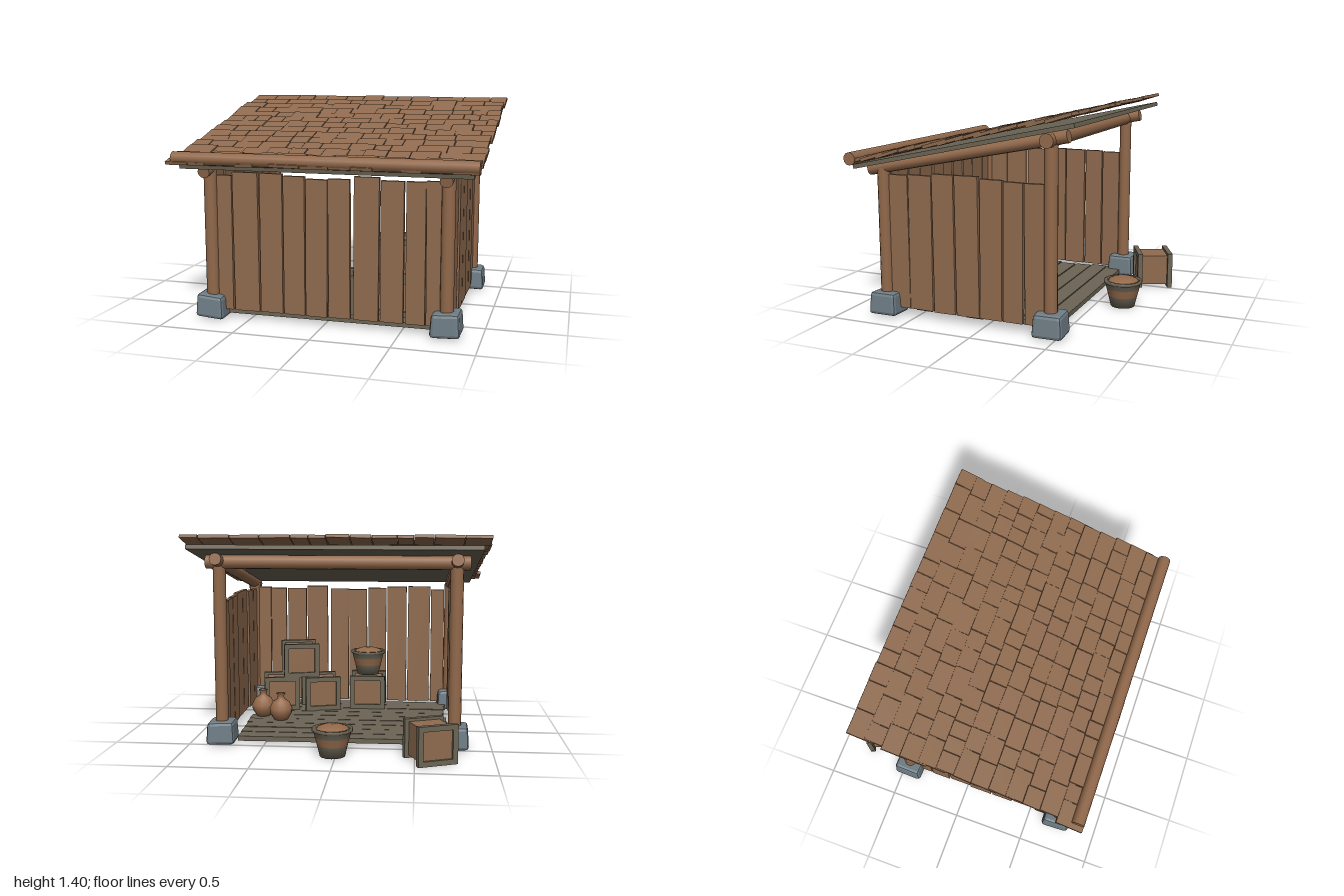
import * as THREE from 'three';
import { RoundedBoxGeometry } from 'three/addons/geometries/RoundedBoxGeometry.js';

const paint = (name, color) => Object.assign(new THREE.MeshStandardMaterial({ color }), { name });

export function createModel() {
  const root = new THREE.Group();
  root.name = 'woodenShelter';
  const plankWood = paint('plankWood', 0x8f6b4f);
  const logWood = paint('logWood', 0x92694b);
  const greyWood = paint('greyWood', 0x6c6555);
  const stone = paint('stone', 0x6f7d85);
  const clay = paint('clay', 0x95694a);

  let seed = 7;
  const rand = () => (seed = (seed * 16807) % 2147483647) / 2147483647;
  const jitter = (a) => (rand() * 2 - 1) * a;

  const add = (parent, name, geo, mat, x = 0, y = 0, z = 0) => {
    const mesh = new THREE.Mesh(geo, mat);
    mesh.name = name;
    mesh.position.set(x, y, z);
    parent.add(mesh);
    return mesh;
  };
  const box = (parent, name, mat, w, h, d, x, y, z) =>
    add(parent, name, new THREE.BoxGeometry(w, h, d), mat, x, y, z);
  const group = (name, x = 0, y = 0, z = 0, ry = 0) => {
    const g = new THREE.Group();
    g.name = name;
    g.position.set(x, y, z);
    g.rotation.y = ry;
    root.add(g);
    return g;
  };
  // Round log between two points
  const log = (name, a, b, r) => {
    const from = new THREE.Vector3(...a), to = new THREE.Vector3(...b);
    const dir = to.clone().sub(from);
    const mesh = add(root, name, new THREE.CylinderGeometry(r, r, dir.length(), 12), logWood);
    mesh.position.copy(from).add(to).multiplyScalar(0.5);
    mesh.quaternion.setFromUnitVectors(new THREE.Vector3(0, 1, 0), dir.normalize());
  };

  // Posts, footing stones and rafters
  const postX = [-0.755, 0.785];
  for (const x of postX) {
    log('frontPost', [x, 0.06, 0.71], [x, 0.99, 0.71], 0.043);
    log('backPost', [x, 0.06, -0.45], [x, 1.23, -0.45], 0.043);
    log('rafter', [x, 0.975, 0.81], [x, 1.245, -0.56], 0.04);
    for (const z of [0.705, -0.45]) {
      const geo = new RoundedBoxGeometry(0.18, 0.15, 0.19, 1, 0.022);
      const p = geo.attributes.position;
      const lean = jitter(0.1);
      for (let i = 0; i < p.count; i++) {
        const k = 1 - p.getY(i) * 0.7;
        p.setXYZ(i, p.getX(i) * k, p.getY(i) + p.getX(i) * lean, p.getZ(i) * k);
      }
      geo.computeVertexNormals();
      add(root, 'footingStone', geo, stone, x, 0.092, z).rotation.y = jitter(0.05);
    }
  }
  log('backCrossBeam', [-0.84, 1.22, -0.45], [0.87, 1.22, -0.45], 0.045);
  log('eaveLog', [-0.95, 1.063, 0.835], [0.985, 1.063, 0.835], 0.042);

  // Floor boards running across
  const floor = group('floor');
  for (let i = 0; i < 9; i++) {
    box(floor, 'floorBoard', greyWood, 1.4 + jitter(0.03), 0.032, 0.117,
      -0.02 + jitter(0.02), 0.042, 0.61 - i * 0.125).rotation.z = jitter(0.004);
  }

  // Upright wall planks: [start, end] along the wall
  const frontPlanks = [[-0.71, -0.61], [-0.6, -0.43], [-0.42, -0.27], [-0.26, -0.12], [-0.11, 0.03],
    [0.035, 0.175], [0.2, 0.36], [0.37, 0.515], [0.53, 0.65], [0.655, 0.75]];
  const sidePlanks = [[-0.41, -0.28], [-0.27, -0.14], [-0.13, 0.02], [0.03, 0.19],
    [0.2, 0.35], [0.365, 0.53], [0.535, 0.67]];
  const frontWall = group('frontWall');
  for (const [a, b] of frontPlanks) {
    const top = 0.955 + jitter(0.018);
    box(frontWall, 'wallPlank', plankWood, b - a, top - 0.065, 0.03,
      (a + b) / 2, (top + 0.065) / 2, 0.705 + jitter(0.006)).rotation.z = jitter(0.009);
  }
  for (const x of postX) {
    const wall = group('sideWall');
    for (const [a, b] of sidePlanks) {
      const top = 0.96 + jitter(0.014);
      box(wall, 'wallPlank', plankWood, 0.03, top - 0.065, b - a,
        x + jitter(0.006), (top + 0.065) / 2, (a + b) / 2).rotation.x = jitter(0.008);
    }
  }

  // Roof deck
  box(root, 'roofDeck', greyWood, 1.86, 0.028, 1.515, 0.02, 1.167, 0.09).rotation.x = Math.atan2(0.315, 1.48);

  // Thirteen rows of tilted shingles
  const roof = group('shingles');
  const tilt = 0.29;
  for (let row = 0; row < 13; row++) {
    const backZ = 0.7 - row * 0.1125;
    const backY = 1.086 + row * 0.0255;
    const end = 0.985 + jitter(0.008);
    let x = (row === 0 ? -0.995 : -0.965) + jitter(0.015);
    while (x < end - 0.02) {
      let w = 0.1 + rand() * 0.11;
      if (end - x - w < 0.07) w = end - x;
      const len = 0.175 + jitter(0.008);
      const s = box(roof, 'shingle', plankWood, w - 0.004, 0.021, len, x + w / 2,
        backY - Math.sin(tilt) * len / 2 + jitter(0.004), backZ + Math.cos(tilt) * len / 2 + jitter(0.003));
      s.rotation.set(tilt + jitter(0.015), jitter(0.015), jitter(0.02));
      x += w;
    }
  }

  // Crates with a raised frame at both ends
  const crate = (x, y, z, ry) => {
    const g = group('crate', x, y + 0.125, z, ry);
    box(g, 'crateBody', plankWood, 0.21, 0.215, 0.22, 0, 0, 0);
    for (const s of [-1, 1]) {
      for (const t of [-1, 1]) {
        box(g, 'crateRail', greyWood, 0.265, 0.034, 0.034, 0, t * 0.109, s * 0.109);
        box(g, 'crateStile', greyWood, 0.034, 0.184, 0.034, t * 0.115, 0, s * 0.109);
      }
    }
  };
  crate(-0.595, 0.008, -0.725, 0.41);
  crate(0.23, 0.058, 0.45, 0.28);
  crate(0.53, 0.058, 0.43, 0.2);
  crate(0.39, 0.308, 0.46, 0.25);
  crate(-0.13, 0.058, 0.53, 0);

  // Tubs: tapered staves, a hoop and heaped contents
  const tub = (x, y, z) => {
    const g = group('tub', x, y, z);
    const lathe = (name, mat, pts) =>
      add(g, name, new THREE.LatheGeometry(pts.map((p) => new THREE.Vector2(...p)), 14), mat);
    lathe('tubBase', greyWood, [[0, 0], [0.082, 0], [0.1, 0.075]]);
    lathe('tubHoop', clay, [[0.1, 0.075], [0.113, 0.125]]);
    lathe('tubRim', greyWood, [[0.113, 0.125], [0.122, 0.16], [0.132, 0.165], [0.132, 0.182], [0.11, 0.182], [0.108, 0.165]]);
    lathe('tubContents', clay, [[0.11, 0.168], [0.095, 0.188], [0.06, 0.2], [0, 0.204]]);
  };
  tub(0.02, 0.008, -0.68);
  tub(-0.13, 0.31, 0.53);

  // Round clay jugs
  const jugProfile = [[0, 0], [0.05, 0], [0.078, 0.045], [0.082, 0.085], [0.06, 0.13], [0.026, 0.152],
    [0.022, 0.175], [0.034, 0.192], [0.022, 0.192], [0, 0.175]].map((p) => new THREE.Vector2(...p));
  for (const [x, z] of [[0.47, 0.03], [0.62, 0.14]]) {
    add(root, 'jug', new THREE.LatheGeometry(jugProfile, 14), clay, x, 0.058, z);
  }
  return root;
}
